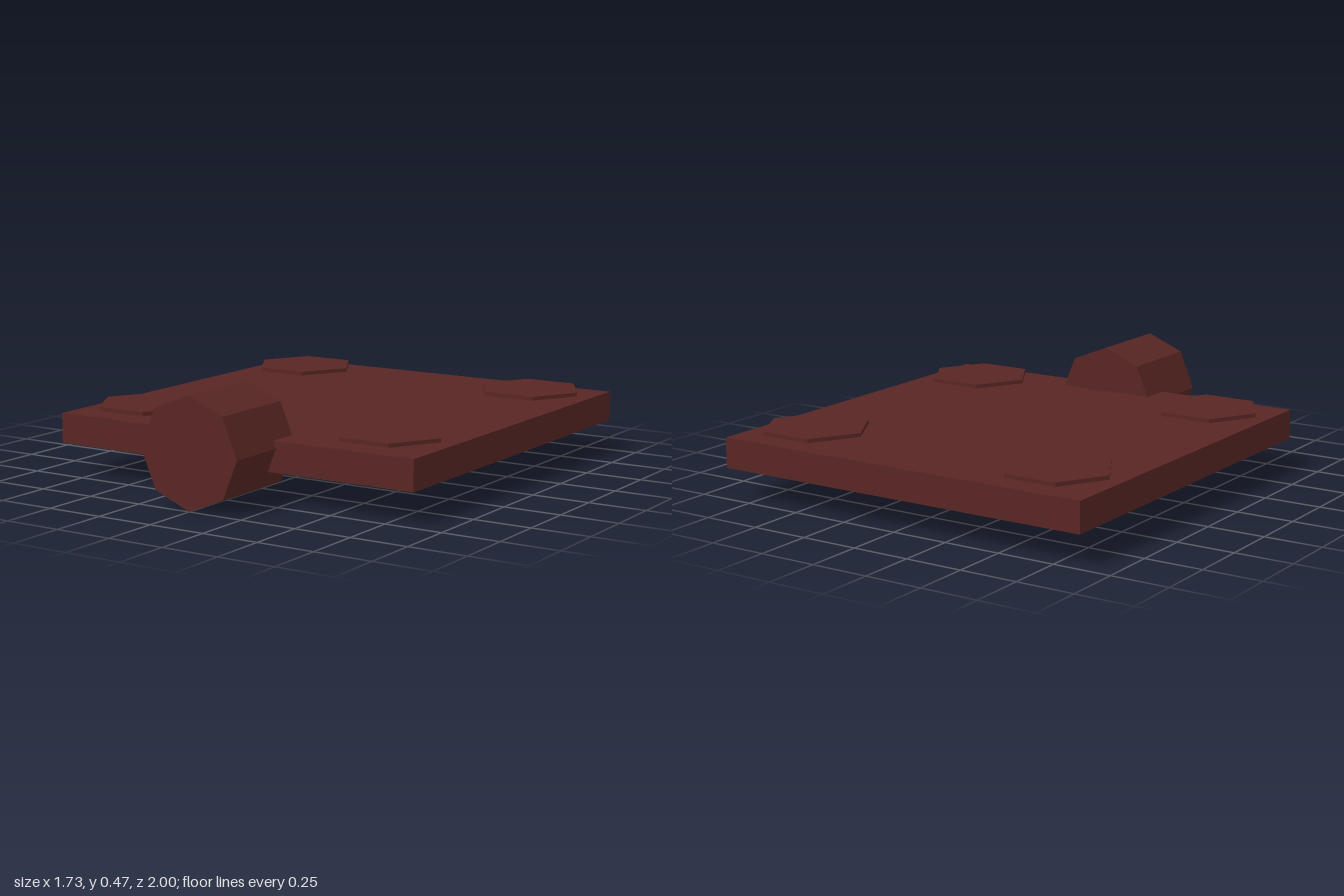
import * as THREE from 'three';

export function createModel() {
  const model = new THREE.Group();
  const material = new THREE.MeshStandardMaterial({ color: 0x582623, flatShading: true });

  const add = (name, geometry, x, y, z) => {
    const mesh = new THREE.Mesh(geometry, material);
    mesh.name = name;
    mesh.position.set(x, y, z);
    model.add(mesh);
    return mesh;
  };

  const plateZ = -0.133; // centre of the square plate

  // Square base plate
  add('plate', new THREE.BoxGeometry(1.733, 0.13, 1.733), 0, 0.2, plateZ);

  // Octagonal barrel through the front edge, one corner pointing up
  const barrel = new THREE.CylinderGeometry(0.2333, 0.2333, 0.4, 8).rotateX(Math.PI / 2);
  add('barrel', barrel, 0, 0.2333, 0.8);

  // Thin hexagonal pads floating just above the corners, corners along x
  const pad = new THREE.CylinderGeometry(0.2333, 0.2333, 0.0167, 6).rotateY(Math.PI / 2);
  // Small square pins beneath the middle
  const pin = new THREE.BoxGeometry(0.0333, 0.0333, 0.0333);

  for (const sx of [-1, 1]) {
    for (const sz of [-1, 1]) {
      const place = (sz > 0 ? 'front' : 'back') + (sx > 0 ? 'Left' : 'Right');
      add(place + 'Pad', pad, sx * 0.6, 0.289, plateZ + sz * 0.6);
      add(place + 'Pin', pin, sx * 0.133, 0.119, plateZ + sz * 0.133);
    }
  }

  return model;
}
